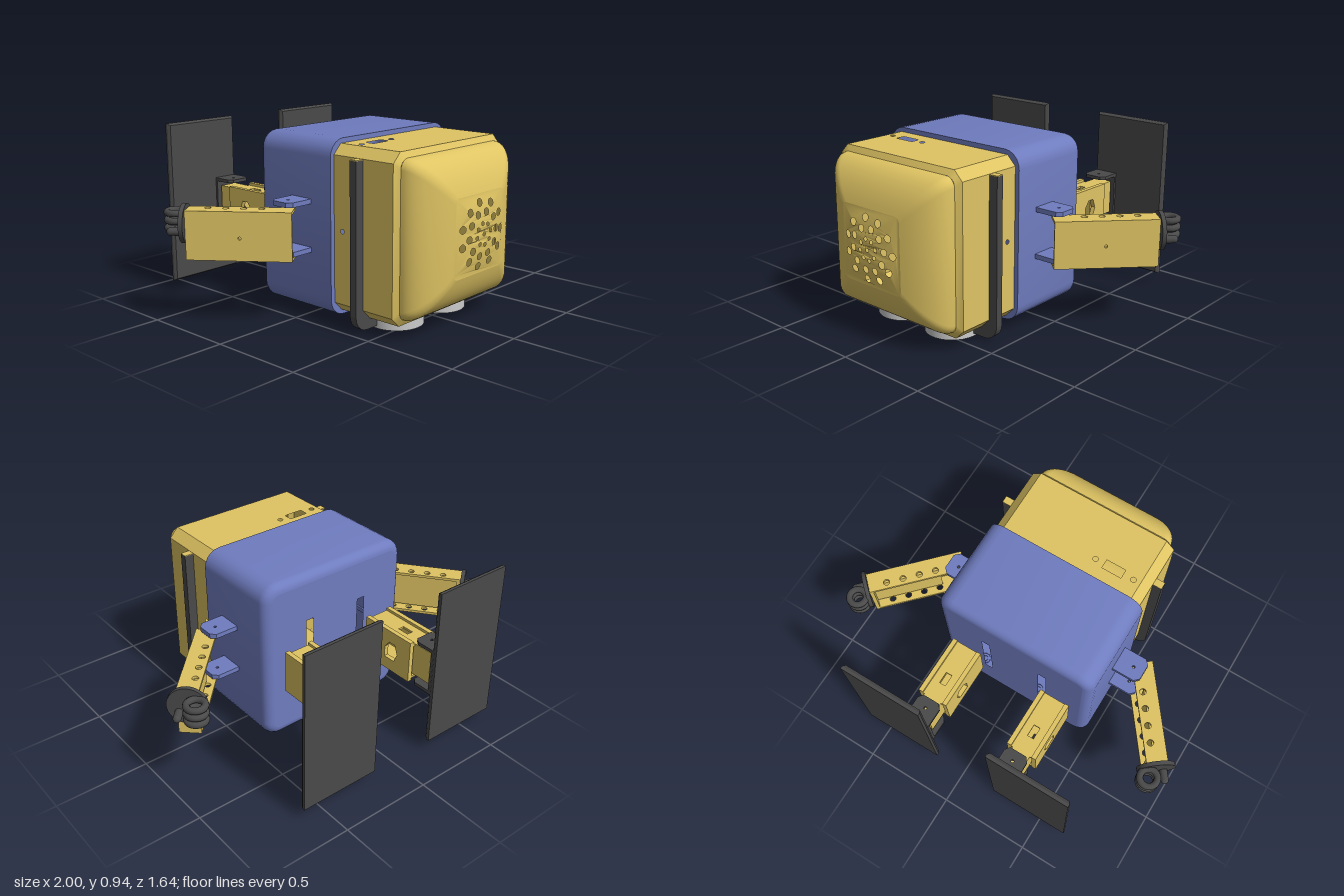
import * as THREE from 'three';
import { toCreasedNormals } from 'three/addons/utils/BufferGeometryUtils.js';

const mat = (color) => new THREE.MeshStandardMaterial({ color, side: THREE.DoubleSide });
const V = (p) => new THREE.Vector2(p[0], p[1]);

export function createModel() {
  const yellow = mat(0xdfc463), blue = mat(0x6f7cbf), dark = mat(0x4a4a4a), grey = mat(0xcccccc);
  const root = new THREE.Group();
  root.position.x = -0.0175;
  const CY = 0.495; // height of the body's axis

  const add = (name, geo, m, x = 0, y = 0, z = 0, parent = root) => {
    const mesh = new THREE.Mesh(geo, m);
    mesh.name = name;
    mesh.position.set(x, y, z);
    parent.add(mesh);
    return mesh;
  };
  const box = (name, w, h, d, m, x, y, z, parent) => add(name, new THREE.BoxGeometry(w, h, d), m, x, y, z, parent);

  // Square outline with rounded (or chamfered) corners, counter-clockwise
  const square = (h, r, chamfer = false, n = 5) => {
    const pts = [];
    for (let k = 0; k < 4; k++) for (let i = 0; i <= n; i++) {
      const t = i / n, a = t * Math.PI / 2;
      const u = h - r + r * (chamfer ? 1 - t : Math.cos(a));
      const v = h - r + r * (chamfer ? t : Math.sin(a));
      pts.push([[u, v], [-v, u], [-u, -v], [v, -u]][k]);
    }
    return pts;
  };
  const rect = (w, h) => [[w / 2, -h / 2], [w / 2, h / 2], [-w / 2, h / 2], [-w / 2, -h / 2]];
  const circle = (x, y, r, n = 16) => Array.from({ length: n }, (_, i) =>
    [x + r * Math.cos(i / n * Math.PI * 2), y + r * Math.sin(i / n * Math.PI * 2)]);
  const shape = (pts, holes = []) => {
    const s = new THREE.Shape(pts.map(V));
    s.holes = holes.map((h) => new THREE.Path(h.map(V)));
    return s;
  };
  const extrude = (pts, depth, holes) => new THREE.ExtrudeGeometry(shape(pts, holes), { depth, bevelEnabled: false });
  // Flat horizontal plate: outline in x and z, top at y = 0
  const flat = (pts, t, holes) => extrude(pts, t, holes).rotateX(Math.PI / 2);

  // Skin through outlines stacked along +z
  const loft = (sections, crease = 0.6) => {
    const pos = [], idx = [], n = sections[0].pts.length;
    sections.forEach(({ pts, z }, i) => pts.forEach((p, j) => {
      pos.push(p[0], p[1], z);
      if (i < sections.length - 1) {
        const a = i * n + j, b = i * n + (j + 1) % n;
        idx.push(a, b, a + n, b, b + n, a + n);
      }
    }));
    const g = new THREE.BufferGeometry();
    g.setAttribute('position', new THREE.Float32BufferAttribute(pos, 3));
    g.setIndex(idx);
    return toCreasedNormals(g, crease);
  };

  // Rear shell: rounded hollow box, slotted back wall, front rim
  const shell = [];
  for (let i = 0; i <= 6; i++) {
    const a = i / 6 * Math.PI / 2, h = 0.40 + 0.05 * Math.sin(a);
    shell.push({ pts: square(h, h - 0.36), z: -0.235 - 0.05 * Math.cos(a) });
  }
  shell.push({ pts: square(0.45, 0.09), z: 0.225 });
  add('rearShell', loft(shell), blue, 0, CY);
  const slots = [-0.17, 0.17].map((x) => rect(0.045, 0.38).map(([u, v]) => [u + x, v]));
  add('rearWall', new THREE.ShapeGeometry(shape(square(0.40, 0.04), slots)).rotateY(Math.PI), blue, 0, CY, -0.285);
  add('shellRim', new THREE.ShapeGeometry(shape(square(0.45, 0.09), [square(0.425, 0.05, true)])), blue, 0, CY, 0.225);

  // Front housing: four pierced walls joined by chamfers
  const wallHoles = [
    [circle(-0.335, -0.325, 0.014), circle(-0.115, -0.325, 0.014), rect(0.11, 0.05).map(([u, v]) => [u - 0.222, v - 0.325])],
    [circle(0, -0.28, 0.012)],
    [circle(-0.175, -0.415, 0.105, 32), circle(0.175, -0.415, 0.105, 32)],
    [circle(0, -0.28, 0.012)],
  ];
  const z0 = 0.2, z1 = 0.6;
  wallHoles.forEach((holes, k) => {
    const side = new THREE.Group();
    side.name = 'housingSide';
    side.position.y = CY;
    side.rotation.z = k * Math.PI / 2;
    root.add(side);
    const outline = [[-0.375, -z1], [0.375, -z1], [0.375, -z0], [-0.375, -z0]];
    add('housingWall', new THREE.ShapeGeometry(shape(outline, holes)).rotateX(-Math.PI / 2), yellow, 0, 0.425, 0, side);
    const chamfer = new THREE.PlaneGeometry(0.05 * Math.SQRT2, z1 - z0).rotateX(-Math.PI / 2).rotateZ(-Math.PI / 4);
    add('housingChamfer', chamfer, yellow, 0.4, 0.4, (z0 + z1) / 2, side);
  });
  add('housingBevel', loft([{ pts: square(0.425, 0.05, true), z: z1 }, { pts: square(0.395, 0.05), z: 0.62 }]), yellow, 0, CY);

  // Domed face: square sections following an elliptical profile
  const H = 0.395, PATCH = 0.2;
  const domeZ = (h) => 0.62 + 0.2 * Math.sqrt(Math.max(0, 1 - (h / H) ** 2));
  const dome = [];
  const a0 = Math.asin(PATCH / H);
  for (let i = 0; i <= 14; i++) {
    const h = H * Math.sin(Math.PI / 2 + (a0 - Math.PI / 2) * i / 14);
    dome.push({ pts: square(h, h * 0.13), z: domeZ(h) });
  }
  add('dome', loft(dome), yellow, 0, CY);

  // Speaker patch at the dome's centre with rings of holes
  const speaker = [circle(0, 0, 0.01, 10)];
  for (const [count, ring, r, turn] of [[8, 0.055, 0.01, 0.2], [10, 0.11, 0.018, 0.1], [11, 0.16, 0.019, 0]])
    for (let i = 0; i < count; i++) {
      const a = turn + i / count * Math.PI * 2;
      speaker.push(circle(ring * Math.cos(a), ring * Math.sin(a), r, 14));
    }
  const patch = new THREE.ShapeGeometry(shape(square(PATCH, PATCH * 0.13), speaker));
  const pp = patch.attributes.position;
  for (let i = 0; i < pp.count; i++) {
    const m = Math.max(Math.abs(pp.getX(i)), Math.abs(pp.getY(i)));
    pp.setZ(i, domeZ(m > 0.185 ? PATCH : m));
  }
  patch.computeVertexNormals();
  add('speakerPatch', patch, yellow, 0, CY);

  // Bottom thruster studs
  const stud = new THREE.LatheGeometry([[0.016, 0.03], [0.016, 0], [0.026, 0], [0.03, 0.012], [0.03, 0.03]].map(V), 16);
  for (const z of [-0.08, -0.195]) for (let i = 0; i < 4; i++)
    add('bottomStud', stud, blue, -0.27 + 0.18 * i, 0.025, z);

  // Strap around the underside, between the foot rings
  box('strapMiddle', 0.06, 0.055, 0.04, dark, 0, 0.043, 0.395);

  for (const s of [-1, 1]) {
    const side = s > 0 ? 'left' : 'right';

    // Foot ring
    const ring = [[0.105, 0], [0.145, 0], [0.145, 0.08], [0.105, 0.08], [0.105, 0]].map(V);
    add(side + 'FootRing', toCreasedNormals(new THREE.LatheGeometry(ring, 40), 0.6), grey, s * 0.175, 0, 0.415);

    // Strap arm with rounded lower corner
    const strap = [[0.425, 0.37], [0.425, -0.375], [0.375, -0.425], [0.31, -0.425], [0.31, -0.48], [0.395, -0.48]];
    for (let i = 1; i <= 6; i++) {
      const a = -Math.PI / 2 + i / 6 * Math.PI / 2;
      strap.push([0.395 + 0.08 * Math.cos(a), -0.40 + 0.08 * Math.sin(a)]);
    }
    strap.push([0.475, 0.37]);
    add(side + 'Strap', extrude(strap.map(([x, y]) => [s * x, y]), 0.04), dark, 0, CY, 0.375);
    box(side + 'StrapCap', 0.05, 0.004, 0.04, yellow, s * 0.45, 0.867, 0.395);

    // Shoulder bracket: two chamfered flanges
    const flange = [[0.44, -0.045], [0.575, -0.045], [0.6, -0.02], [0.6, 0.065], [0.575, 0.09], [0.44, 0.09]];
    for (const y of [0.635, 0.385])
      add(side + 'ShoulderFlange', flat(flange.map(([x, z]) => [s * x, z]), 0.025, [circle(s * 0.54, 0.02, 0.008, 10)]), blue, 0, y);

    // Arm: channel running outwards and back (local x along it, outer face at s * z)
    const L = 0.53, arm = new THREE.Group();
    arm.name = side + 'Arm';
    arm.position.set(s > 0 ? 0.5525 : -0.5625, 0, 0.08);
    arm.rotation.y = s > 0 ? 0.81 : Math.PI - 0.918;
    root.add(arm);
    const along = rect(L, 0.25).map(([x, y]) => [x + L / 2, y]);
    add('armOuterWall', extrude(along, 0.015, [circle(0.26, -0.01, 0.008, 10)]), yellow, 0, 0.47, s > 0 ? 0.04 : -0.055, arm);
    const holes = [0.16, 0.25, 0.34, 0.43].map((x) => circle(x, -s * 0.02, 0.017));
    for (const y of [0.595, 0.36])
      add('armFlange', flat(rect(L, 0.11).map(([x, z]) => [x + L / 2, z]), 0.015, holes), yellow, 0, y, 0, arm);
    box('armCore', L * 0.72, 0.2, 0.05, yellow, L * 0.62, 0.47, s * 0.014, arm);
    box('armEnd', 0.02, 0.25, 0.11, yellow, L - 0.01, 0.47, 0, arm);

    // Hand: wrist disc, three curled fingers and a thumb
    add('wristDisc', new THREE.CylinderGeometry(0.1, 0.1, 0.022, 32).rotateZ(Math.PI / 2), dark, L + 0.012, 0.52, 0, arm);
    for (const y of [0.485, 0.525, 0.565])
      add('finger', new THREE.TorusGeometry(0.045, 0.018, 10, 28).rotateX(Math.PI / 2), dark, L + 0.069, y, -s * 0.051, arm);
    add('thumb', new THREE.CapsuleGeometry(0.021, 0.05, 6, 12).rotateZ(Math.PI / 2), dark, L + 0.05, 0.485, s * 0.04, arm);

    // Rear boom: windowed side walls, recessed plates and an inner tongue
    const bx = s * 0.27, wall = rect(0.33, 0.235).map(([x, y]) => [x + 0.485, y]);
    const window_ = [[0.47, -0.05], [0.54, -0.05], [0.56, 0], [0.54, 0.05], [0.5, 0.05], [0.47, 0.01]];
    for (const x of [-0.085, 0.06])
      add(side + 'BoomWall', extrude(wall, 0.025, [window_]).rotateY(Math.PI / 2), yellow, bx + x, 0.4625, 0);
    for (const y of [0.565, 0.37])
      add(side + 'BoomPlate', flat(rect(0.12, 0.33), 0.012, [rect(0.035, 0.1).map(([x, z]) => [x, z - 0.06])]),
        yellow, bx, y, -0.485);
    box(side + 'BoomTongue', 0.1, 0.185, 0.2, yellow, bx, 0.4725, -0.66);

    // Clevis holding the panel
    const ear = [[-0.067, -0.8], [0.067, -0.8], [0.067, -0.69], [0.047, -0.665], [-0.047, -0.665], [-0.067, -0.69]];
    for (const y of [0.607, 0.36]) {
      add(side + 'ClevisEar', flat(ear, 0.018, [circle(0, -0.72, 0.008, 10)]), dark, s * 0.263, y);
    }
    box(side + 'ClevisBack', 0.134, 0.26, 0.015, dark, s * 0.263, 0.475, -0.79);

    // Rear panel with bevelled front edge
    const panel = [[0, 0, -0.825], [0.45, 0.88, -0.825], [0.45, 0.88, -0.81], [0.43, 0.86, -0.795], [0, 0, -0.795]];
    add(side + 'Panel', loft(panel.map(([w, h, z]) => ({ pts: rect(w, h), z })), 0.3), dark, s * 0.413, 0.505, 0);
  }
  return root;
}
